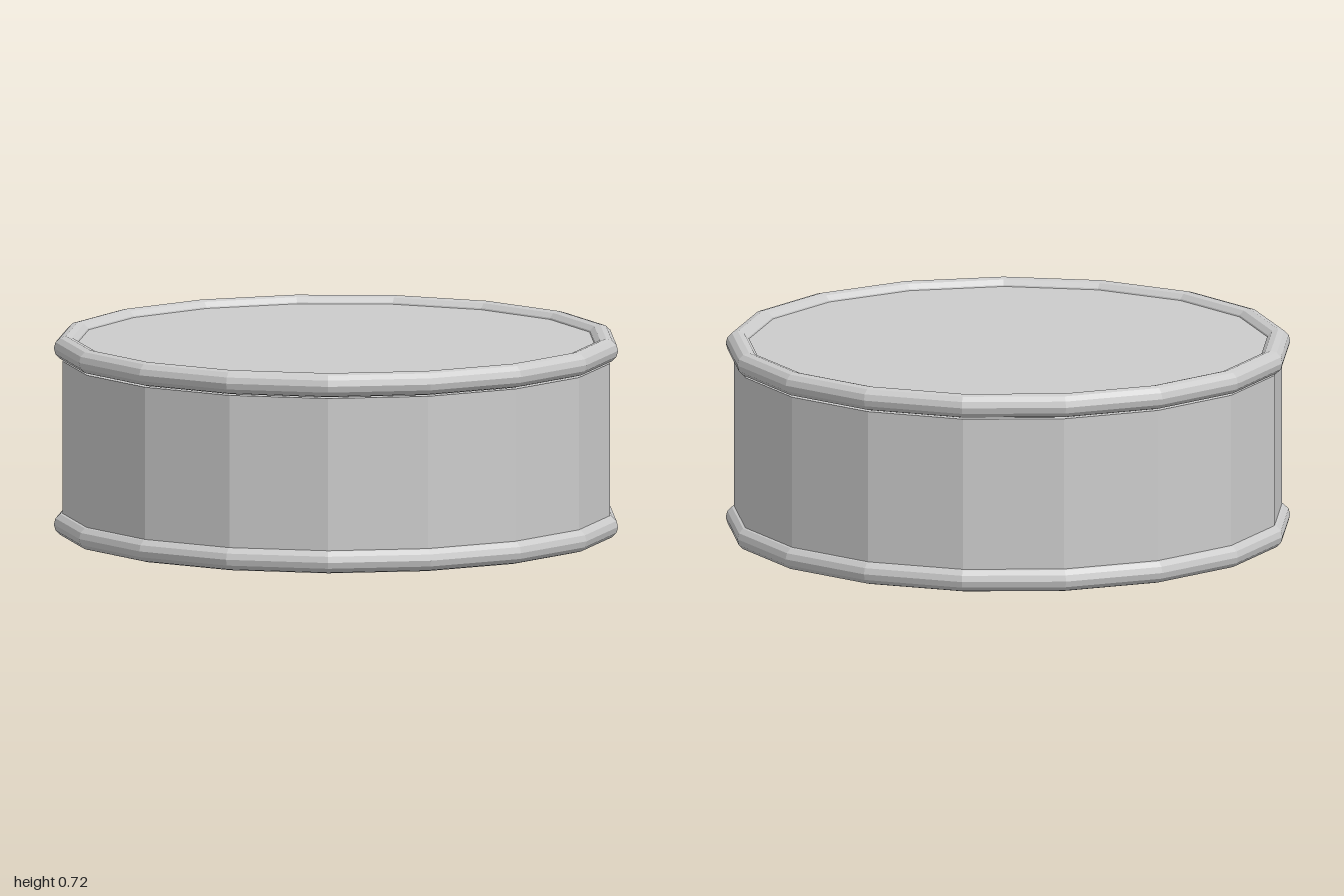
import * as THREE from 'three';

export function createModel() {
  const SIDES = 17, TUBE = 0.043, RING = 0.962, TOP = 0.717;
  const model = new THREE.Group();
  const material = new THREE.MeshStandardMaterial({ color: 0xcccccc, flatShading: true });

  const add = (name, geometry, y) => {
    const mesh = new THREE.Mesh(geometry, material);
    mesh.name = name;
    // a 17-sided outline is slightly uneven in x, so shift it to centre
    mesh.position.set(-0.0087, y, 0);
    model.add(mesh);
  };

  // closed faceted drum between two heights, one corner on +x
  const drum = (name, radius, y0, y1) => add(
    name,
    new THREE.CylinderGeometry(radius, radius, y1 - y0, SIDES).rotateY(Math.PI / 2),
    (y0 + y1) / 2
  );

  // shell with a recessed base, and the head set inside the upper rim
  drum('body', 0.975, 0.055, 0.628);
  drum('head', 0.95, 0.645, 0.69);

  // rounded rims
  const rim = new THREE.TorusGeometry(RING, TUBE, 12, SIDES).rotateX(Math.PI / 2);
  add('lowerRim', rim, TUBE);
  add('upperRim', rim, TOP - TUBE);

  return model;
}
